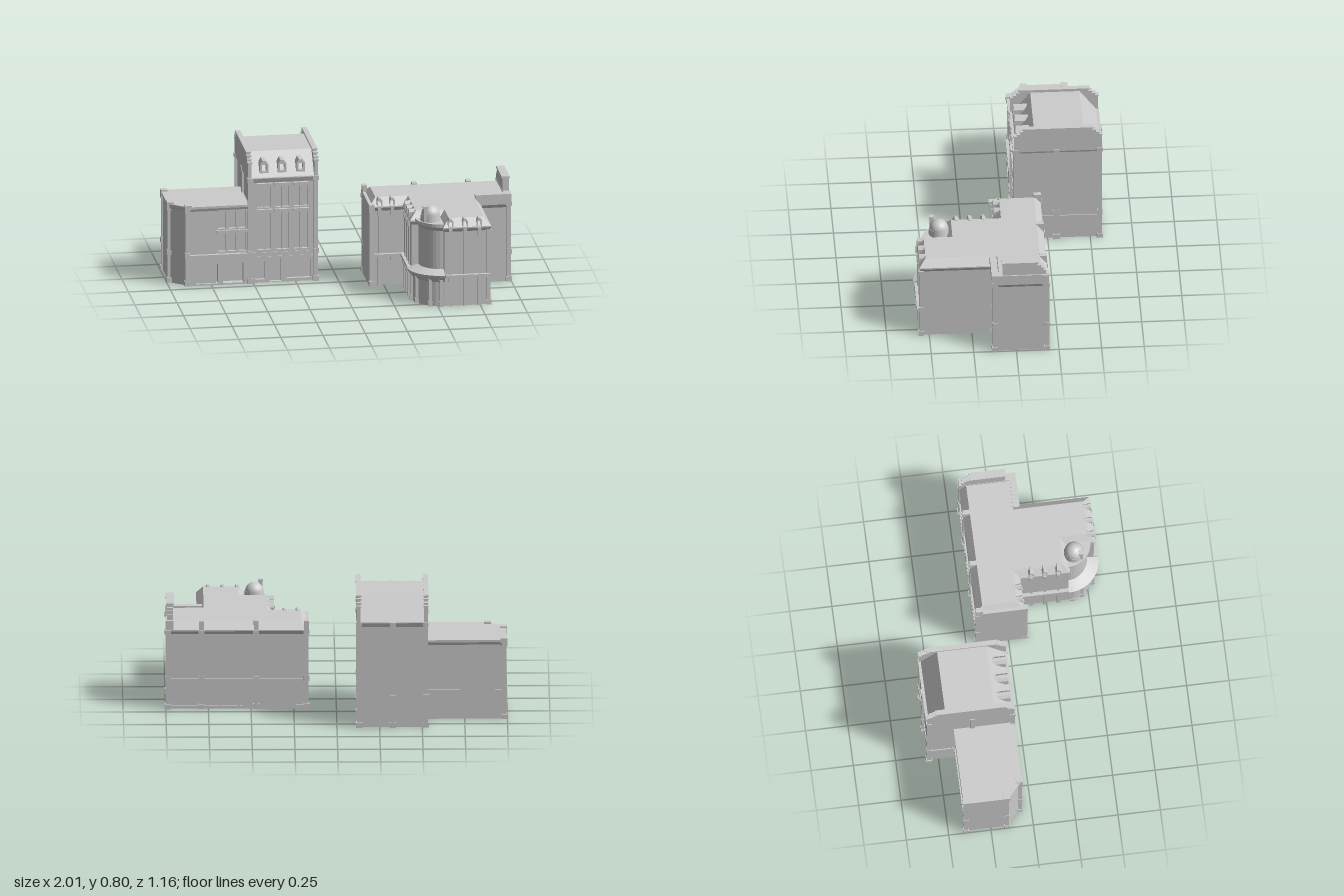
import * as THREE from 'three';

const mat = new THREE.MeshStandardMaterial({ color: 0xcccccc, side: THREE.DoubleSide });

export function createModel() {
  const root = new THREE.Group();
  let target = root;
  const add = (name, geo) => {
    const m = new THREE.Mesh(geo, mat);
    m.name = name;
    target.add(m);
    return m;
  };
  const section = (name) => {
    target = new THREE.Group();
    target.name = name;
    root.add(target);
  };
  const box = (name, x0, x1, y0, y1, z0, z1) =>
    add(name, new THREE.BoxGeometry(x1 - x0, y1 - y0, z1 - z0))
      .position.set((x0 + x1) / 2, (y0 + y1) / 2, (z0 + z1) / 2);

  // Stacked [x, z] outlines joined by flat walls, closed on top and open below
  const loft = (name, rings) => {
    const v = [];
    for (let r = 0; r + 1 < rings.length; r++) {
      const [a, ya] = rings[r], [b, yb] = rings[r + 1];
      a.forEach((p, i) => {
        const j = (i + 1) % a.length, q = a[j], s = b[i], t = b[j];
        v.push(p[0], ya, p[1], q[0], ya, q[1], t[0], yb, t[1]);
        v.push(p[0], ya, p[1], t[0], yb, t[1], s[0], yb, s[1]);
      });
    }
    const [top, y] = rings[rings.length - 1];
    const flat = top.map((p) => new THREE.Vector2(p[0], -p[1]));
    for (const f of THREE.ShapeUtils.triangulateShape(flat, []))
      for (const i of f) v.push(top[i][0], y, top[i][1]);
    const g = new THREE.BufferGeometry();
    g.setAttribute('position', new THREE.Float32BufferAttribute(v, 3));
    g.computeVertexNormals();
    return add(name, g);
  };
  // Moves every side of an outline inwards by d (outwards when negative)
  const inset = (poly, d) => poly.map((p, i) => {
    const n = poly.length, a = poly[(i + n - 1) % n], b = poly[(i + 1) % n];
    const normal = (s, e) => {
      const l = Math.hypot(e[0] - s[0], e[1] - s[1]);
      return [(e[1] - s[1]) / l, -(e[0] - s[0]) / l];
    };
    const m = normal(a, p), k = normal(p, b), c = 1 + m[0] * k[0] + m[1] * k[1];
    return [p[0] + d * (m[0] + k[0]) / c, p[1] + d * (m[1] + k[1]) / c];
  });
  const rect = (x0, x1, z0, z1) => [[x0, z0], [x0, z1], [x1, z1], [x1, z0]];
  const shapeOf = (pts) => new THREE.Shape(pts.map((p) => new THREE.Vector2(p[0], p[1])));

  // Front-facing wall screen with rectangular openings [x0, x1, y0, y1]
  const screen = (name, x0, x1, y0, y1, z, depth, holes) => {
    const s = shapeOf([[x0, y0], [x1, y0], [x1, y1], [x0, y1]]);
    for (const [a, b, c, d] of holes)
      s.holes.push(new THREE.Path([[a, c], [a, d], [b, d], [b, c]].map((p) => new THREE.Vector2(...p))));
    add(name, new THREE.ExtrudeGeometry(s, { depth, bevelEnabled: false })).position.z = z - depth;
  };
  // Stepped gable from [z, y] points, set across x
  const gable = (name, x, thick, pts) => {
    const g = new THREE.ExtrudeGeometry(shapeOf(pts.map(([z, y]) => [-z, y])), { depth: thick, bevelEnabled: false });
    add(name, g.rotateY(Math.PI / 2)).position.x = x;
  };
  const pilaster = (x, z, h, w = 0.026) => {
    for (const [y0, y1, s] of [[0, 0.03, 1.4], [0.03, h, 1], [0.17, 0.2, 1.25], [h - 0.025, h, 1.35]])
      box('pilaster', x - w * s / 2, x + w * s / 2, y0, y1, z - w * s / 2, z + w * s / 2);
  };
  // Small gabled dormer whose face looks along the turned +z axis
  const dormer = (x, y, z, turn, w, h, depth) => {
    const s = shapeOf([[-w / 2, 0], [w / 2, 0], [w / 2, h * 0.72], [w * 0.2, h], [-w * 0.2, h], [-w / 2, h * 0.72]]);
    s.holes.push(new THREE.Path([[-w * 0.28, h * 0.15], [-w * 0.28, h * 0.68], [w * 0.28, h * 0.68], [w * 0.28, h * 0.15]]
      .map((p) => new THREE.Vector2(...p))));
    const g = new THREE.ExtrudeGeometry(s, { depth, bevelEnabled: false }).translate(0, 0, -depth);
    const m = add('dormer', g);
    m.position.set(x, y, z);
    m.rotation.y = turn;
  };

  // ---- Tall tower ----
  section('tower');
  loft('towerWalls', [[rect(-0.52, -0.13, -0.56, -0.08), 0], [rect(-0.52, -0.13, -0.56, -0.08), 0.62]]);
  const bays = [-0.435, -0.327, -0.218];
  screen('towerGroundFloor', -0.52, -0.13, 0, 0.185, -0.06, 0.025,
    [[-0.49, -0.43, 0.02, 0.13], [-0.405, -0.335, 0.005, 0.15], [-0.3, -0.16, 0.02, 0.13]]);
  screen('towerWindowScreen', -0.52, -0.13, 0.185, 0.62, -0.063, 0.02,
    bays.flatMap((x) => [[x - 0.04, x + 0.04, 0.2, 0.425], [x - 0.04, x + 0.04, 0.46, 0.585]]));
  for (const x of bays) {
    for (const y of [0.435, 0.595]) box('windowHood', x - 0.047, x + 0.047, y, y + 0.016, -0.075, -0.047);
    box('windowMullion', x - 0.005, x + 0.005, 0.2, 0.585, -0.08, -0.068);
    dormer(x, 0.67, -0.066, 0, 0.05, 0.075, 0.085);
  }
  for (const z of [-0.062, -0.3, -0.556])
    for (const x of [-0.52, -0.13]) pilaster(x, z, 0.645);
  pilaster(-0.327, -0.562, 0.645);
  const belt = rect(-0.525, -0.125, -0.565, -0.057);
  loft('towerBelt', [[belt, 0.145], [belt, 0.16]]);
  loft('towerCornice', [[belt, 0.615], [inset(belt, -0.008), 0.64], [inset(belt, -0.008), 0.645]]);
  loft('mansardRoof', [[rect(-0.52, -0.13, -0.56, -0.06), 0.64], [rect(-0.52, -0.13, -0.46, -0.17), 0.775]]);
  const half = [[-0.052, 0.63], [-0.052, 0.74], [-0.07, 0.74], [-0.07, 0.755], [-0.088, 0.755],
    [-0.088, 0.773], [-0.108, 0.773], [-0.108, 0.79]];
  const steps = [...half, ...half.map(([z, y]) => [-0.62 - z, y]).reverse()];
  for (const x of [-0.533, -0.139]) {
    gable('steppedGable', x, 0.022, steps);
    box('gableCoping', x - 0.004, x + 0.026, 0.785, 0.795, -0.52, -0.1);
    for (const [z, y] of [[-0.06, 0.74], [-0.078, 0.755], [-0.098, 0.773]])
      for (const c of [z, -0.62 - z]) box('gableStep', x - 0.004, x + 0.026, y - 0.004, y + 0.004, c - 0.012, c + 0.012);
  }

  // ---- Low wing beside the tower ----
  section('wing');
  const wing = [[-0.985, -0.4], [-0.985, -0.15], [-0.885, -0.065], [-0.72, -0.065], [-0.72, -0.095],
    [-0.53, -0.095], [-0.53, -0.4]];
  loft('wingWalls', [[wing, 0], [wing, 0.465]]);
  const coping = [[-0.99, -0.405], [-0.99, -0.148], [-0.885, -0.058], [-0.53, -0.058], [-0.53, -0.405]];
  loft('wingCoping', [[coping, 0.455], [inset(coping, -0.006), 0.472], [inset(coping, -0.006), 0.485]]);
  screen('wingGroundFloor', -0.87, -0.53, 0, 0.18, -0.052, 0.04,
    [[-0.84, -0.71, 0.01, 0.13], [-0.68, -0.56, 0.01, 0.13]]);
  box('wingLedge', -0.88, -0.53, 0.172, 0.188, -0.095, -0.046);
  const panes = [-0.685, -0.625, -0.565];
  screen('wingWindows', -0.72, -0.53, 0.18, 0.46, -0.068, 0.02,
    panes.flatMap((x) => [[x - 0.022, x + 0.022, 0.2, 0.31], [x - 0.022, x + 0.022, 0.34, 0.445]]));
  for (const y of [0.318, 0.448]) box('windowSill', -0.72, -0.53, y, y + 0.014, -0.08, -0.057);
  for (const [x, z] of [[-0.983, -0.396], [-0.983, -0.155], [-0.89, -0.068]]) {
    pilaster(x, z, 0.47, 0.024);
    box('cornerCap', x - 0.016, x + 0.024, 0.47, 0.495, z - 0.02, z + 0.02);
  }
  box('wingBackBelt', -0.985, -0.53, 0.165, 0.18, -0.408, -0.395);

  // ---- Corner building ----
  section('cornerBuilding');
  const arc = (r, cx = 0.54, cz = 0.38, n = 10) => Array.from({ length: n + 1 }, (_, i) => {
    const a = Math.PI / 2 * i / n;
    return [cx - r * Math.cos(a), cz + r * Math.sin(a)];
  });
  const outline = (corner) => [[0.175, -0.18], [0.175, 0.085], [0.37, 0.085], ...corner,
    [0.805, 0.55], [0.805, 0.13], [0.99, 0.13], [0.99, -0.18]];
  const upper = outline([[0.37, 0.38], [0.54, 0.38], [0.54, 0.55]]);
  const ground = outline(arc(0.17));
  loft('groundFloor', [[ground, 0], [ground, 0.185]]);
  loft('upperWalls', [[upper, 0.18], [upper, 0.47]]);
  loft('eaves', [[upper, 0.455], [inset(upper, -0.01), 0.475], [inset(upper, -0.01), 0.483],
    [inset(upper, 0.03), 0.53]]);

  // Rounded corner entrance, canopy, turret and dome
  const sector = (r) => [[0.54, 0.38], ...arc(r)];
  loft('turret', [[sector(0.13), 0.18], [sector(0.13), 0.45], [sector(0.15), 0.475], [sector(0.15), 0.495]]);
  loft('cornerCanopy', [[sector(0.165), 0.14], [sector(0.195), 0.18], [sector(0.2), 0.195], [sector(0.13), 0.215]]);
  for (const a of [0.12, 0.5, 1.07, 1.45]) pilaster(0.54 - 0.172 * Math.cos(a), 0.38 + 0.172 * Math.sin(a), 0.185, 0.018);
  const drum = add('domeDrum', new THREE.CylinderGeometry(0.056, 0.062, 0.05, 20));
  drum.position.set(0.475, 0.51, 0.425);
  const dome = add('dome', new THREE.SphereGeometry(0.055, 20, 8, 0, Math.PI * 2, 0, Math.PI / 2));
  dome.position.set(0.475, 0.53, 0.425);
  box('chimney', 0.428, 0.45, 0.48, 0.585, 0.455, 0.475);
  box('chimneyCap', 0.424, 0.454, 0.58, 0.592, 0.451, 0.479);

  // Street ledge with brackets, pilasters and roof dormers along the front faces
  box('ledge', 0.545, 0.812, 0.178, 0.193, 0.54, 0.572);
  box('ledge', 0.348, 0.38, 0.178, 0.193, 0.085, 0.385);
  box('ledge', 0.165, 0.38, 0.178, 0.193, 0.08, 0.107);
  const trim = (x, z, turn) => {
    const dx = turn ? -1 : 0, dz = turn ? 0 : 1;
    const post = (name, y0, y1, w, out) => box(name, x - w + dx * out, x + w + dx * out, y0, y1,
      z - w + dz * out, z + w + dz * out);
    post('groundPost', 0, 0.18, 0.01, 0.002);
    post('bracket', 0.15, 0.185, 0.012, 0.01);
    post('upperPost', 0.19, 0.46, 0.007, 0);
    post('eavesBracket', 0.43, 0.475, 0.01, 0.006);
    dormer(x + dx * 0.008, 0.478, z + dz * 0.008, turn, 0.032, 0.055, 0.05);
  };
  for (const x of [0.575, 0.66, 0.745]) trim(x, 0.55, 0);
  for (const z of [0.16, 0.24, 0.32]) trim(0.37, z, -Math.PI / 2);
  for (const x of [0.225, 0.3]) trim(x, 0.085, 0);
  pilaster(0.8, 0.547, 0.46, 0.022);

  // Rear wall, end wall and taller end block
  for (const x of [0.175, 0.47, 0.79, 0.988]) {
    pilaster(x, -0.18, 0.48);
    box('roofRib', x - 0.014, x + 0.014, 0.47, 0.537, -0.192, -0.15);
  }
  for (const x of [0.27, 0.37, 0.57, 0.68]) box('rearPost', x - 0.005, x + 0.005, 0, 0.18, -0.187, -0.175);
  box('rearBelt', 0.175, 0.99, 0.17, 0.185, -0.189, -0.175);
  box('rearBase', 0.175, 0.99, 0, 0.02, -0.187, -0.175);
  pilaster(0.985, 0.125, 0.49);
  pilaster(0.812, 0.128, 0.48, 0.02);
  for (const z of [0.0, -0.165]) box('endPanelStrip', 0.985, 0.996, 0, 0.48, z + 0.105, z + 0.112);
  box('endCornice', 0.955, 1, 0.48, 0.54, -0.192, 0.145);
  box('endCornice', 0.785, 1, 0.48, 0.54, 0.105, 0.145);
  gable('endParapet', 0.957, 0.036, [[0.08, 0.53], [0.08, 0.62], [-0.125, 0.62], [-0.125, 0.605], [-0.145, 0.605],
    [-0.145, 0.59], [-0.16, 0.59], [-0.16, 0.57], [-0.175, 0.57], [-0.175, 0.53]]);
  box('parapetCoping', 0.95, 0.998, 0.617, 0.628, -0.13, 0.084);

  // Low parapet on the far end
  box('farParapet', 0.16, 0.19, 0.46, 0.5, -0.195, 0.115);
  box('farEndWall', 0.162, 0.18, 0, 0.47, -0.185, 0.1);
  pilaster(0.177, 0.1, 0.48, 0.024);
  return root;
}
